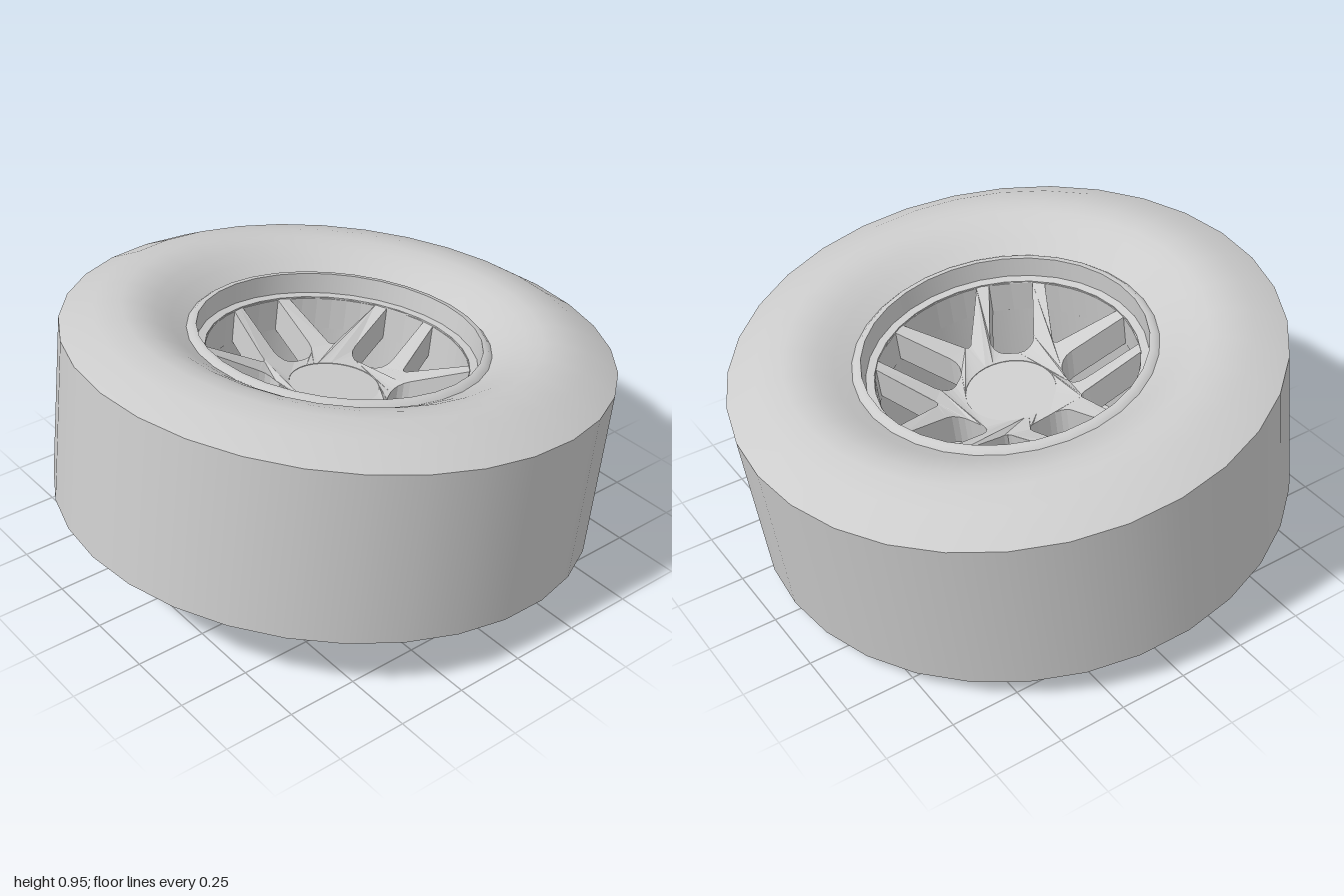
import * as THREE from 'three';

const SIDES = 32;
const DISH_RIM = 0.228, DISH_HUB = 0.11, HUB_R = 0.16, BARREL_R = 0.465;

// Height of the dished wheel face at a given radius
function dish(r) {
  const t = Math.max(0, (r - 0.2) / (BARREL_R - 0.2));
  return DISH_HUB + (DISH_RIM - DISH_HUB) * t;
}

// Parallel-sided window with a rounded inner end, along angle a
function slotWindow(a) {
  const w = 0.08, inner = 0.2, c = 0.055, pts = [];
  const outer = Math.sqrt(0.463 ** 2 - w * w);
  pts.push([outer, -w]);
  for (let i = 0; i <= 4; i++) {
    const t = (i / 4) * Math.PI / 2;
    pts.push([inner + c - c * Math.sin(t), -w + c - c * Math.cos(t)]);
  }
  for (let i = 4; i >= 0; i--) {
    const t = (i / 4) * Math.PI / 2;
    pts.push([inner + c - c * Math.sin(t), w - c + c * Math.cos(t)]);
  }
  pts.push([outer, w], [0.461, 0]);
  return turnedPath(pts, a);
}

// Window that widens towards the rim, with a small rounded tip
function wedgeWindow(a) {
  const pts = [[0.434, -0.16], [0.285, -0.026], [0.268, -0.012], [0.263, 0],
    [0.268, 0.012], [0.285, 0.026], [0.434, 0.16]];
  for (const t of [0.24, 0.12, 0, -0.12, -0.24]) {
    pts.push([0.462 * Math.cos(t), 0.462 * Math.sin(t)]);
  }
  return turnedPath(pts, a);
}

function turnedPath(pts, a) {
  const c = Math.cos(a), s = Math.sin(a);
  return new THREE.Path(pts.map(([x, y]) => new THREE.Vector2(x * c - y * s, x * s + y * c)));
}

export function createModel() {
  const material = new THREE.MeshStandardMaterial({ color: 0xcccccc, side: THREE.DoubleSide });
  const model = new THREE.Group();
  const wheel = new THREE.Group();
  wheel.name = 'wheel';
  model.add(wheel);

  function add(name, geometry, y = 0) {
    const mesh = new THREE.Mesh(geometry, material);
    mesh.name = name;
    mesh.position.y = y;
    wheel.add(mesh);
  }
  const lathe = (name, pts) =>
    add(name, new THREE.LatheGeometry(pts.map(([r, y]) => new THREE.Vector2(r, y)), SIDES));

  // Tyre: separate strips keep the tread edges sharp
  lathe('tread', [[0.968, -0.307], [0.968, 0.307]]);
  lathe('upperSidewall', [[0.968, 0.307], [0.855, 0.364], [0.76, 0.383], [0.7, 0.378],
    [0.645, 0.361], [0.59, 0.332], [0.533, 0.298]]);
  lathe('lowerSidewall', [[0.52, -0.307], [0.59, -0.336], [0.645, -0.362], [0.72, -0.378],
    [0.81, -0.357], [0.968, -0.307]]);

  // Rim: lip, wall, ledge and barrel
  lathe('rimLip', [[0.533, 0.298], [0.518, 0.312], [0.5, 0.312]]);
  lathe('rimWall', [[0.5, 0.312], [0.494, 0.237]]);
  lathe('rimLedge', [[0.494, 0.237], [BARREL_R, 0.233]]);
  lathe('rimBarrel', [[BARREL_R, 0.233], [BARREL_R, -0.3]]);
  add('backPlate', new THREE.CylinderGeometry(0.52, 0.52, 0.01, SIDES), -0.302);

  // Spokes: a disc with five slots and five wedges cut out, dished towards the hub
  const face = new THREE.Shape().absarc(0, 0, 0.47, 0, Math.PI * 2);
  face.holes.push(new THREE.Path().absarc(0, 0, HUB_R, 0, Math.PI * 2, true));
  for (let i = 0; i < 5; i++) {
    const a = (i * Math.PI * 2) / 5;
    face.holes.push(wedgeWindow(a), slotWindow(a + Math.PI));
  }
  const depth = 0.12;
  const spokes = new THREE.ExtrudeGeometry(face, { depth, bevelEnabled: false, curveSegments: SIDES });
  spokes.rotateX(-Math.PI / 2);
  const p = spokes.attributes.position;
  for (let i = 0; i < p.count; i++) {
    p.setY(i, p.getY(i) - depth + dish(Math.hypot(p.getX(i), p.getZ(i))));
  }
  spokes.computeVertexNormals();
  add('spokes', spokes);

  // Flat hub cap
  add('hubCap', new THREE.CylinderGeometry(HUB_R, HUB_R, depth, SIDES), DISH_HUB - depth / 2 - 0.002);

  // The wheel lies on its side, tipped slightly back
  wheel.rotation.x = -0.1318;
  wheel.position.y = 0.47;
  return model;
}
